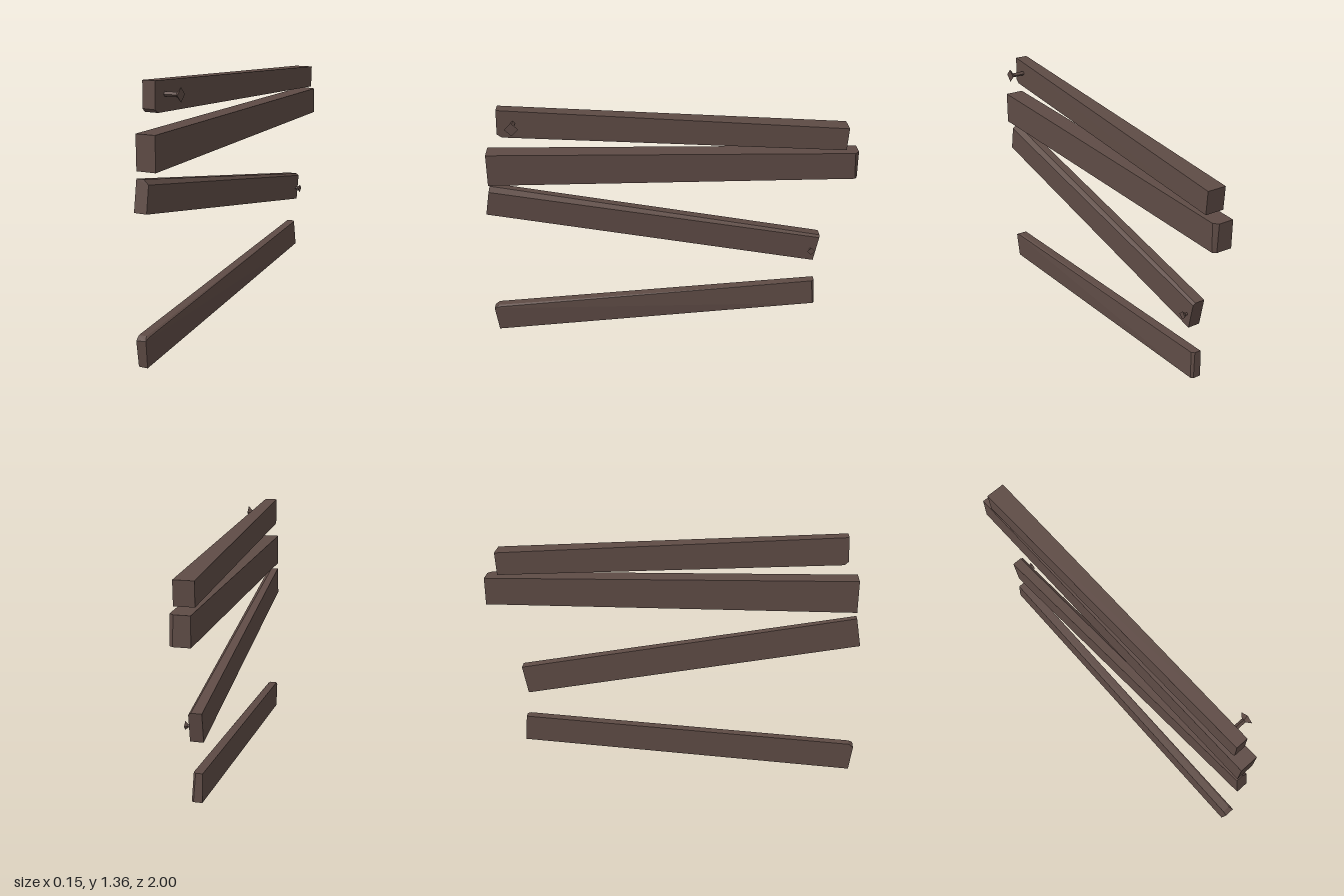
import * as THREE from 'three';
import { ConvexGeometry } from 'three/addons/geometries/ConvexGeometry.js';

const wood = new THREE.MeshStandardMaterial({ color: 0x5e4b45 });
wood.name = 'darkWood';
const L = -0.077; // common flat back side of all planks

// A plank is the hull of its worn corners, given as [x, y, z]
function plank(name, corners) {
  const points = corners.map((c) => new THREE.Vector3(...c));
  const mesh = new THREE.Mesh(new ConvexGeometry(points), wood);
  mesh.name = name;
  return mesh;
}

// Four-sided nail pointing along +x: thin shaft and flared head
function nail(name, x0, x1, y, z, shaftR, headR, headLen) {
  const group = new THREE.Group();
  group.name = name;
  const part = (partName, rTop, rBottom, from, to) => {
    const g = new THREE.CylinderGeometry(rTop, rBottom, to - from, 4).toNonIndexed();
    g.computeVertexNormals();
    g.rotateZ(-Math.PI / 2);
    g.translate((from + to) / 2, y, z);
    const mesh = new THREE.Mesh(g, wood);
    mesh.name = partName;
    group.add(mesh);
  };
  part('nailShaft', shaftR, shaftR, x0 - 0.01, x1 - headLen);
  part('nailHead', headR, shaftR, x1 - headLen, x1);
  return group;
}

export function createModel() {
  const model = new THREE.Group();
  model.name = 'brokenPlanks';

  // Top plank: thicker at the back, lower front edge chipped
  model.add(plank('topPlank', [
    [L, 1.36, 0.89], [-0.01, 1.36, 0.89],
    [L, 1.23, 0.895], [-0.01, 1.228, 0.895],
    [L, 1.212, 0.875], [-0.01, 1.21, 0.87],
    [L, 1.24, -0.935], [0.025, 1.24, -0.935],
    [L, 1.118, -0.928], [0.025, 1.118, -0.928],
  ]));

  // Upper middle plank: back corner cut off
  model.add(plank('upperMiddlePlank', [
    [L, 1.124, 0.96], [0.025, 1.124, 0.96],
    [L, 0.95, 0.96], [0.025, 0.95, 0.96],
    [L, 1.098, -1], [0.003, 1.098, -1], [0.025, 1.098, -0.978],
    [L, 0.95, -1], [0.008, 0.95, -1], [0.025, 0.95, -0.986],
  ]));

  // Lower middle plank: chamfer along the upper edge, narrowing to the back
  model.add(plank('lowerMiddlePlank', [
    [L, 0.916, 0.962], [-0.038, 0.916, 0.962], [-0.01, 0.893, 0.967],
    [L, 0.76, 0.99], [-0.01, 0.76, 0.99],
    [L, 0.582, -0.832], [-0.023, 0.582, -0.832], [-0.01, 0.571, -0.83],
    [L, 0.428, -0.803], [-0.01, 0.428, -0.803],
  ]));

  // Bottom plank: worn upper front edge and cut back corner
  model.add(plank('bottomPlank', [
    [L, 0.158, 0.975], [-0.036, 0.159, 0.975], [-0.025, 0.152, 0.975],
    [L, 0.138, 1], [-0.024, 0.143, 1],
    [L, 0, 0.982], [-0.029, 0, 0.982],
    [L, 0.277, -0.825], [-0.042, 0.277, -0.825], [-0.029, 0.276, -0.81],
    [L, 0.13, -0.835], [-0.033, 0.13, -0.835], [-0.022, 0.13, -0.825],
  ]));

  model.add(nail('topNail', -0.01, 0.077, 1.29, 0.808, 0.012, 0.036, 0.02));
  model.add(nail('lowerNail', -0.01, 0.018, 0.5, -0.785, 0.008, 0.023, 0.015));
  return model;
}
